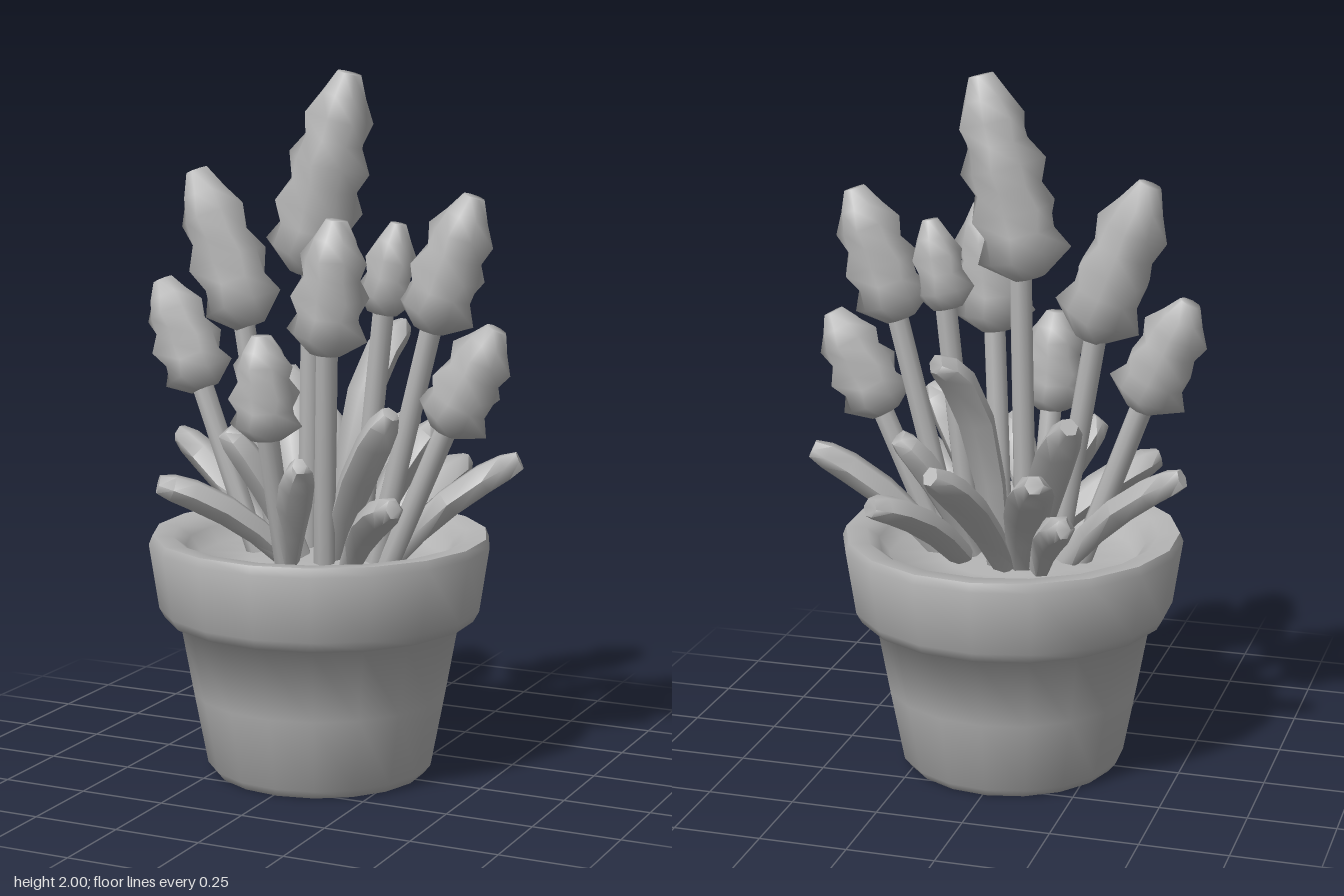
import * as THREE from 'three';
import { toCreasedNormals } from 'three/addons/utils/BufferGeometryUtils.js';

const V = (p) => new THREE.Vector3(...p);

// Sweep a closed cross-section along a curve; section(t, j, i) gives [half width, half thickness]
function loft(curve, ts, sides, section, sideAxis) {
  const pos = [], index = [];
  ts.forEach((t, i) => {
    const c = curve.getPoint(t), tan = curve.getTangent(t);
    const side = sideAxis.clone().addScaledVector(tan, -sideAxis.dot(tan)).normalize();
    const norm = new THREE.Vector3().crossVectors(tan, side);
    for (let j = 0; j < sides; j++) {
      const a = (j / sides) * Math.PI * 2, [w, h] = section(t, j, i);
      const p = c.clone().addScaledVector(side, Math.cos(a) * w).addScaledVector(norm, Math.sin(a) * h);
      pos.push(p.x, p.y, p.z);
    }
  });
  for (let i = 0; i < ts.length - 1; i++) {
    for (let j = 0; j < sides; j++) {
      const k = (j + 1) % sides, a = i * sides + j, b = i * sides + k;
      index.push(a, b, a + sides, b, b + sides, a + sides);
    }
  }
  // end caps
  const last = (ts.length - 1) * sides;
  for (let j = 1; j < sides - 1; j++) {
    index.push(0, j + 1, j, last, last + j, last + j + 1);
  }
  const g = new THREE.BufferGeometry();
  g.setAttribute('position', new THREE.Float32BufferAttribute(pos, 3));
  g.setIndex(index);
  g.computeVertexNormals();
  return g;
}

export function createModel() {
  const group = new THREE.Group();
  const clay = new THREE.MeshStandardMaterial({ color: 0xb4b4b4 });
  clay.name = 'plain grey';
  const add = (name, geometry) => {
    const m = new THREE.Mesh(geometry, clay);
    m.name = name;
    group.add(m);
  };

  // Pot with a thick rim, hollow top and soil
  const profile = [
    [0, 0.005], [0.305, 0.005], [0.325, 0.03], [0.365, 0.24], [0.402, 0.445], [0.445, 0.46], [0.462, 0.49],
    [0.49, 0.675], [0.48, 0.7], [0.42, 0.695], [0.385, 0.67], [0.355, 0.625], [0.2, 0.625], [0, 0.66],
  ].map(([r, y]) => new THREE.Vector2(r, y));
  add('pot', toCreasedNormals(new THREE.LatheGeometry(profile, 18, 0.04), 1.2));

  // Flowers: stem base, head bottom, head tip, head radius, number of whorls
  const flowers = [
    [[-0.04, 0.62, 0], [-0.05, 1.44, 0], [0.09, 2.0, 0], 0.13, 4],
    [[-0.13, 0.62, 0], [-0.22, 1.28, 0], [-0.39, 1.72, 0], 0.12, 3],
    [[-0.2, 0.62, 0], [-0.37, 1.09, 0], [-0.51, 1.4, -0.01], 0.11, 3],
    [[0.17, 0.62, 0], [0.33, 1.3, 0], [0.46, 1.67, -0.01], 0.115, 3],
    [[0.21, 0.62, 0], [0.38, 1.02, 0], [0.53, 1.31, -0.01], 0.11, 3],
    [[0.06, 0.62, 0.1], [0.1, 1.24, 0.18], [0.14, 1.61, 0.19], 0.115, 3],
    [[-0.04, 0.62, 0.14], [-0.05, 1.0, 0.24], [-0.06, 1.29, 0.25], 0.105, 3],
    [[0.12, 0.62, 0], [0.19, 1.34, 0], [0.24, 1.59, 0], 0.085, 2],
  ];
  flowers.forEach(([base, low, tip, radius, whorls]) => {
    const b = V(base), l = V(low), top = V(tip), x = new THREE.Vector3(1, 0, 0);
    const stem = new THREE.LineCurve3(b, l.clone().lerp(top, 0.2));
    add('stem', loft(stem, [0, 1], 8, () => [0.032, 0.032], x));

    // Bumpy head: each whorl swells into four petals that alternate with the next, ending in a small bud
    const rows = whorls * 2 + 1;
    const ts = Array.from({ length: rows + 1 }, (_, i) => i / rows);
    const head = (t, j, i) => {
      let r = radius * (1 - 0.5 * t * t * t);
      if (i === 0) r = 0.045;
      else if (i === rows) r = radius * 0.28;
      else if (i % 2 === 0) r *= 0.8;
      else r *= (j + (i >> 1)) % 2 ? 0.86 : 1.07;
      return [r, r * 0.92];
    };
    add('flowerHead', loft(new THREE.LineCurve3(l, top), ts, 8, head, x));
  });

  // Leaves: base, tip, half width, upward bow
  const leaves = [
    [[-0.16, 0.62, -0.02], [-0.52, 0.93, -0.12], 0.05, 0.06],
    [[0.2, 0.62, -0.02], [0.56, 0.93, -0.12], 0.05, 0.06],
    [[-0.06, 0.64, 0.1], [-0.36, 0.86, 0.3], 0.06, 0.06],
    [[0.14, 0.64, 0.1], [0.36, 0.85, 0.3], 0.055, 0.06],
    [[-0.03, 0.64, 0.14], [0.09, 0.95, 0.32], 0.05, 0.04],
    [[-0.03, 0.64, 0.07], [-0.22, 1.0, 0.16], 0.065, 0.05],
    [[0.06, 0.64, 0.06], [0.28, 1.08, 0.14], 0.065, 0.05],
    [[-0.08, 0.64, -0.08], [-0.25, 1.11, -0.32], 0.065, 0.08],
    [[-0.06, 0.64, -0.12], [-0.19, 0.98, -0.45], 0.065, 0.06],
    [[-0.12, 0.64, -0.14], [-0.26, 0.85, -0.41], 0.05, 0.06],
    [[-0.02, 0.64, -0.14], [0.1, 0.98, -0.45], 0.06, 0.06],
    [[0.0, 0.64, -0.13], [0.12, 1.26, -0.33], 0.065, 0.25],
    [[0.12, 0.64, -0.1], [0.29, 0.86, -0.4], 0.065, 0.06],
    [[0.1, 0.64, -0.06], [0.28, 1.0, -0.18], 0.06, 0.06],
  ];
  const widths = [0.6, 0.8, 1, 1, 0.8, 0.4];
  leaves.forEach(([base, tip, w, bow]) => {
    const a = V(base), b = V(tip);
    const mid = a.clone().lerp(b, 0.5 - bow);
    mid.y = (a.y + b.y) / 2 + bow;
    const out = b.clone().sub(a);
    const side = new THREE.Vector3(out.z, 0, -out.x).normalize();
    const blade = (t, j, i) => [w * widths[i], 0.045 * Math.sqrt(widths[i])];
    const curve = new THREE.QuadraticBezierCurve3(a, mid, b);
    add('leaf', toCreasedNormals(loft(curve, [0, 0.25, 0.5, 0.75, 0.9, 1], 6, blade, side), 1.1));
  });

  return group;
}
